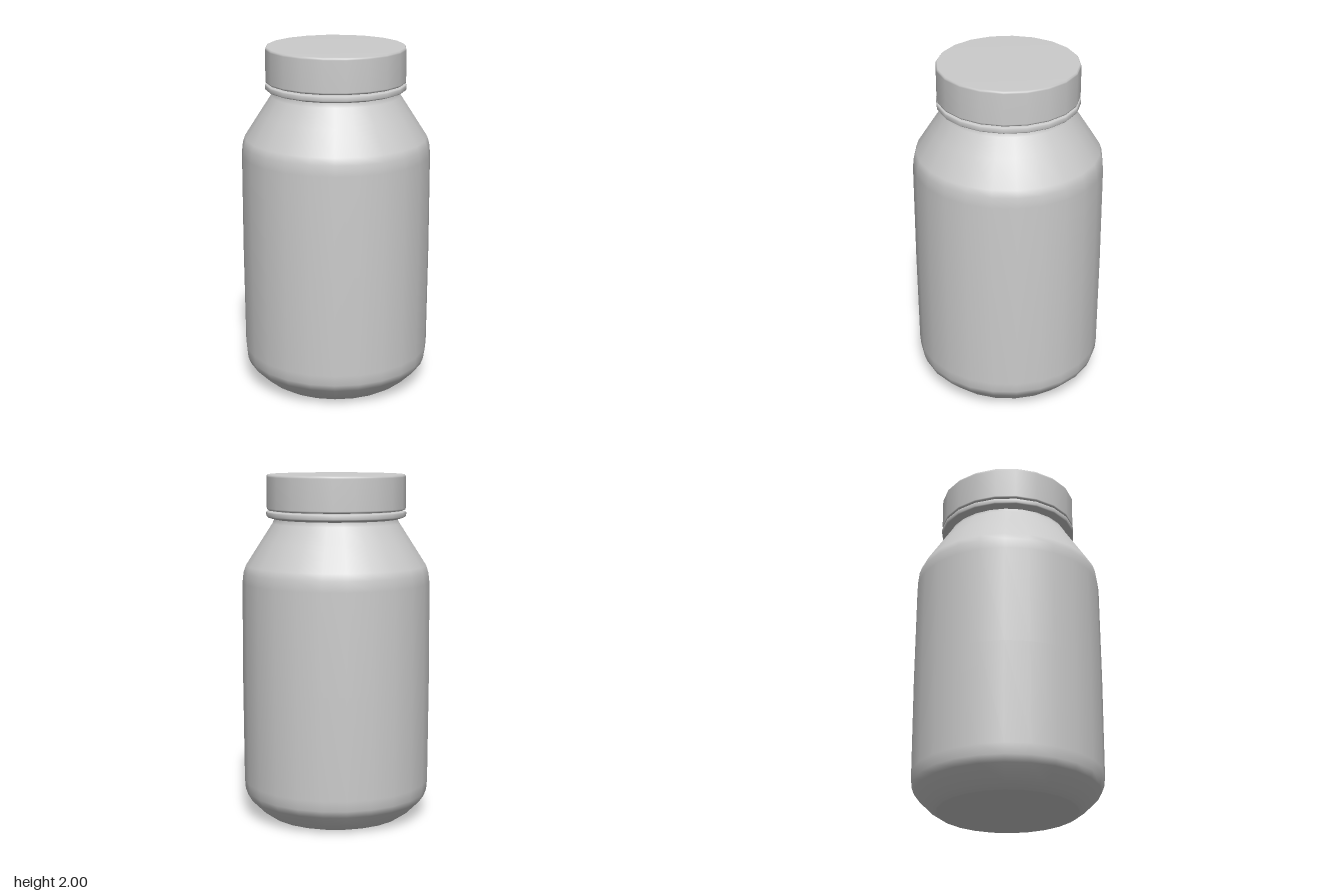
import * as THREE from 'three';

const material = new THREE.MeshStandardMaterial({ color: 0xcccccc });

// Revolves a [radius, height] profile, listed from bottom to top
function turned(name, profile, sides) {
  const points = profile.map(([r, y]) => new THREE.Vector2(r, y));
  const mesh = new THREE.Mesh(new THREE.LatheGeometry(points, sides), material);
  mesh.name = name;
  return mesh;
}

export function createModel() {
  const group = new THREE.Group();
  group.name = 'jar';

  // Body: flat base, bevelled foot, straight wall, sloping shoulder, neck
  group.add(turned('body', [
    [0, 0], [0.395, 0], [0.405, 0.003], [0.445, 0.03], [0.525, 0.11],
    [0.54, 0.15], [0.545, 0.21], [0.548, 0.8], [0.545, 1.38], [0.538, 1.44],
    [0.525, 1.48], [0.435, 1.62], [0.37, 1.72], [0.355, 1.75], [0.355, 1.85],
  ], 24));

  // Sealing ring under the cap
  group.add(turned('sealRing', [
    [0.35, 1.745], [0.36, 1.745], [0.4, 1.757], [0.405, 1.763], [0.405, 1.783],
    [0.4, 1.789], [0.385, 1.791], [0.35, 1.791],
  ], 20));

  // Cap with a narrow bevel around its flat top
  group.add(turned('cap', [
    [0.35, 1.796], [0.392, 1.796], [0.4, 1.8], [0.402, 1.808],
    [0.402, 1.985], [0.4, 1.993], [0.394, 2], [0, 2],
  ], 20));

  return group;
}
